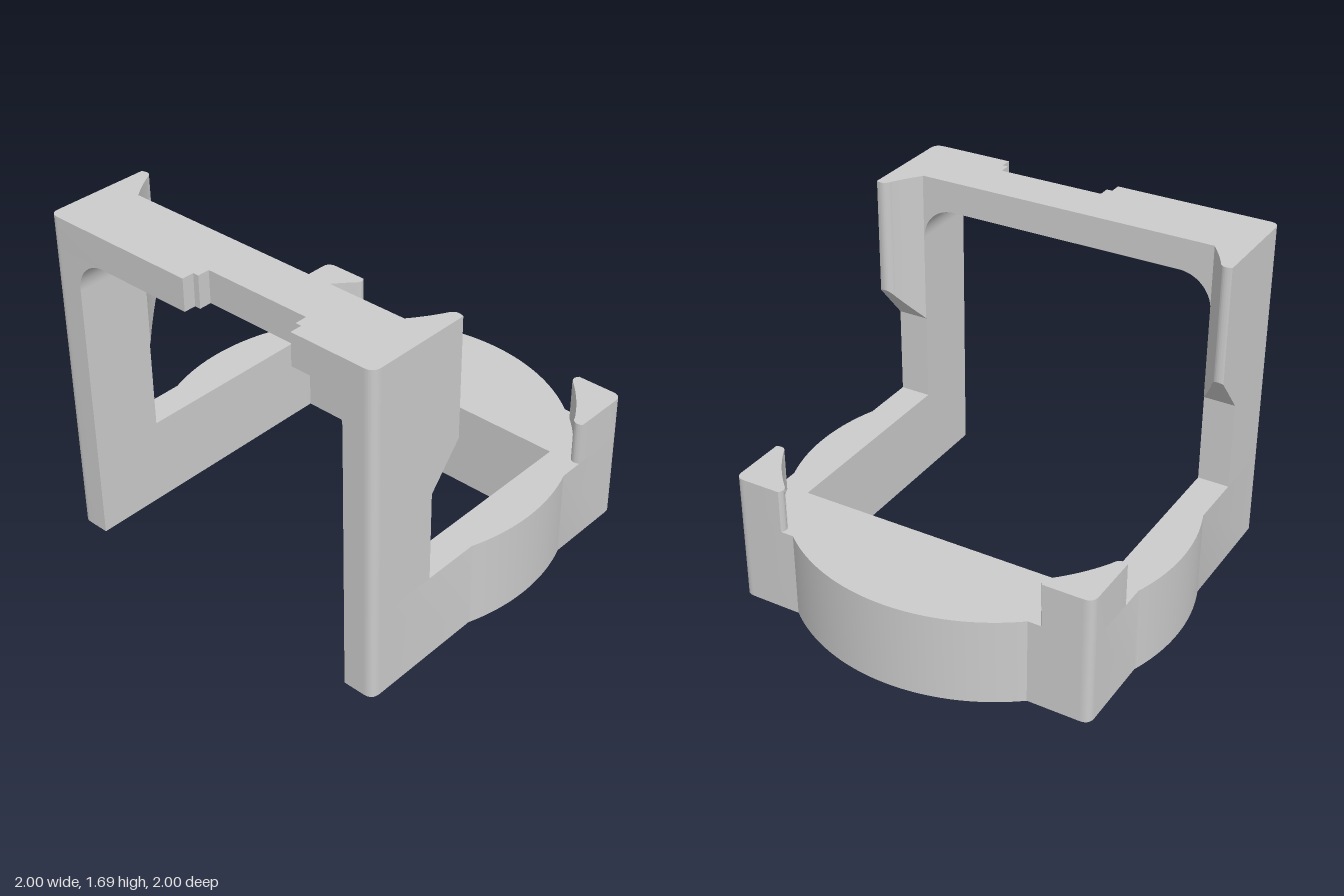
import * as THREE from 'three';
import { toCreasedNormals } from 'three/addons/utils/BufferGeometryUtils.js';

const material = new THREE.MeshStandardMaterial({ color: 0xcccccc });

// Extrude a plan drawn in (x, -z) from height y0 to y1
function extrudePlan(shape, y0, y1) {
  const geo = new THREE.ExtrudeGeometry(shape, { depth: y1 - y0, bevelEnabled: false, curveSegments: 24 });
  return geo.rotateX(-Math.PI / 2).translate(0, y0, 0);
}

function mirrored(shape) {
  return new THREE.Shape(shape.getPoints(24).map(p => new THREE.Vector2(-p.x, p.y)));
}

export function createModel() {
  const group = new THREE.Group();
  const add = (name, geo) => {
    const mesh = new THREE.Mesh(toCreasedNormals(geo, 0.5), material);
    mesh.name = name;
    group.add(mesh);
  };
  // Build a part on both sides of the model
  const addPair = (name, shape, build) => {
    add('left' + name, build(shape));
    add('right' + name, build(mirrored(shape)));
  };

  const W = 0.94, IN = 0.78, R = 0.05, BASE = 0.445, TOP = 1.69, UNDER = 1.53;
  const side = Math.acos(W), back = Math.asin(0.78);

  // Base: rounded rectangle merged with a disc, open at the front
  const base = new THREE.Shape();
  base.moveTo(IN, -1);
  base.lineTo(W - R, -1);
  base.quadraticCurveTo(W, -1, W, -1 + R);
  base.absarc(0, 0, 1, -side, side, false);
  base.lineTo(W, 0.78 - R);
  base.quadraticCurveTo(W, 0.78, W - R, 0.78);
  base.absarc(0, 0, 1, back, Math.PI - back, false);
  base.lineTo(-W + R, 0.78);
  base.quadraticCurveTo(-W, 0.78, -W, 0.78 - R);
  base.absarc(0, 0, 1, Math.PI - side, Math.PI + side, false);
  base.lineTo(-W, -1 + R);
  base.quadraticCurveTo(-W, -1, -W + R, -1);
  base.lineTo(-IN, -1);
  base.lineTo(-IN, 0.45);
  base.lineTo(IN, 0.45);
  base.closePath();
  add('base', extrudePlan(base, 0, BASE));

  // Front posts
  const post = new THREE.Shape();
  post.moveTo(IN, -1);
  post.lineTo(W - R, -1);
  post.quadraticCurveTo(W, -1, W, -1 + R);
  post.lineTo(W, -0.63);
  post.lineTo(IN, -0.63);
  post.closePath();
  addPair('FrontPost', post, s => extrudePlan(s, BASE, UNDER));

  // Top crossbar with a stepped notch in its front face
  const bar = new THREE.Shape();
  bar.moveTo(-W + R, -1);
  for (const [x, y] of [[-0.1, -1], [-0.1, -0.94], [-0.07, -0.94], [-0.07, -0.88],
    [0.48, -0.88], [0.48, -0.94], [0.51, -0.94], [0.51, -1], [W - R, -1]]) bar.lineTo(x, y);
  bar.quadraticCurveTo(W, -1, W, -1 + R);
  bar.lineTo(W, -0.63);
  bar.lineTo(-W, -0.63);
  bar.lineTo(-W, -1 + R);
  bar.quadraticCurveTo(-W, -1, -W + R, -1);
  add('topCrossbar', extrudePlan(bar, UNDER, TOP));

  // Rounded upper corners of the front opening
  const fillet = new THREE.Shape();
  fillet.moveTo(IN, UNDER - 0.17);
  fillet.lineTo(IN, UNDER);
  fillet.lineTo(IN - 0.17, UNDER);
  fillet.absarc(IN - 0.17, UNDER - 0.17, 0.17, Math.PI / 2, 0, true);
  addPair('OpeningFillet', fillet, s =>
    new THREE.ExtrudeGeometry(s, { depth: 0.37, bevelEnabled: false, curveSegments: 24 }).translate(0, 0, 0.63));

  // Curved guides behind the posts, cut at a slope underneath
  const guide = new THREE.Shape();
  guide.moveTo(IN, -0.63);
  guide.lineTo(W, -0.63);
  guide.lineTo(W, -0.463);
  guide.quadraticCurveTo(0.893, -0.44, 0.873, -0.487);
  guide.absarc(0, 0, 1, -Math.acos(0.873), -Math.acos(IN), true);
  guide.closePath();
  addPair('FrontGuide', guide, s => {
    const geo = extrudePlan(s, 0.9, TOP);
    const p = geo.attributes.position;
    for (let i = 0; i < p.count; i++) {
      if (p.getY(i) < 1) p.setY(i, 0.9 + Math.max(0, 0.63 - p.getZ(i)) * 1.18);
    }
    return geo;
  });

  // Low rear corner stops with a concave inner face
  const stop = new THREE.Shape();
  stop.moveTo(W, 0.463);
  stop.lineTo(W, 0.78 - R);
  stop.quadraticCurveTo(W, 0.78, W - R, 0.78);
  stop.lineTo(0.694, 0.78);
  stop.quadraticCurveTo(0.672, 0.756, 0.69, 0.735);
  stop.absarc(0, 0, 1.005, Math.atan2(0.735, 0.69), Math.atan2(0.49, 0.877), true);
  stop.quadraticCurveTo(0.893, 0.44, W, 0.463);
  addPair('RearStop', stop, s => extrudePlan(s, BASE, 0.667));

  return group;
}
